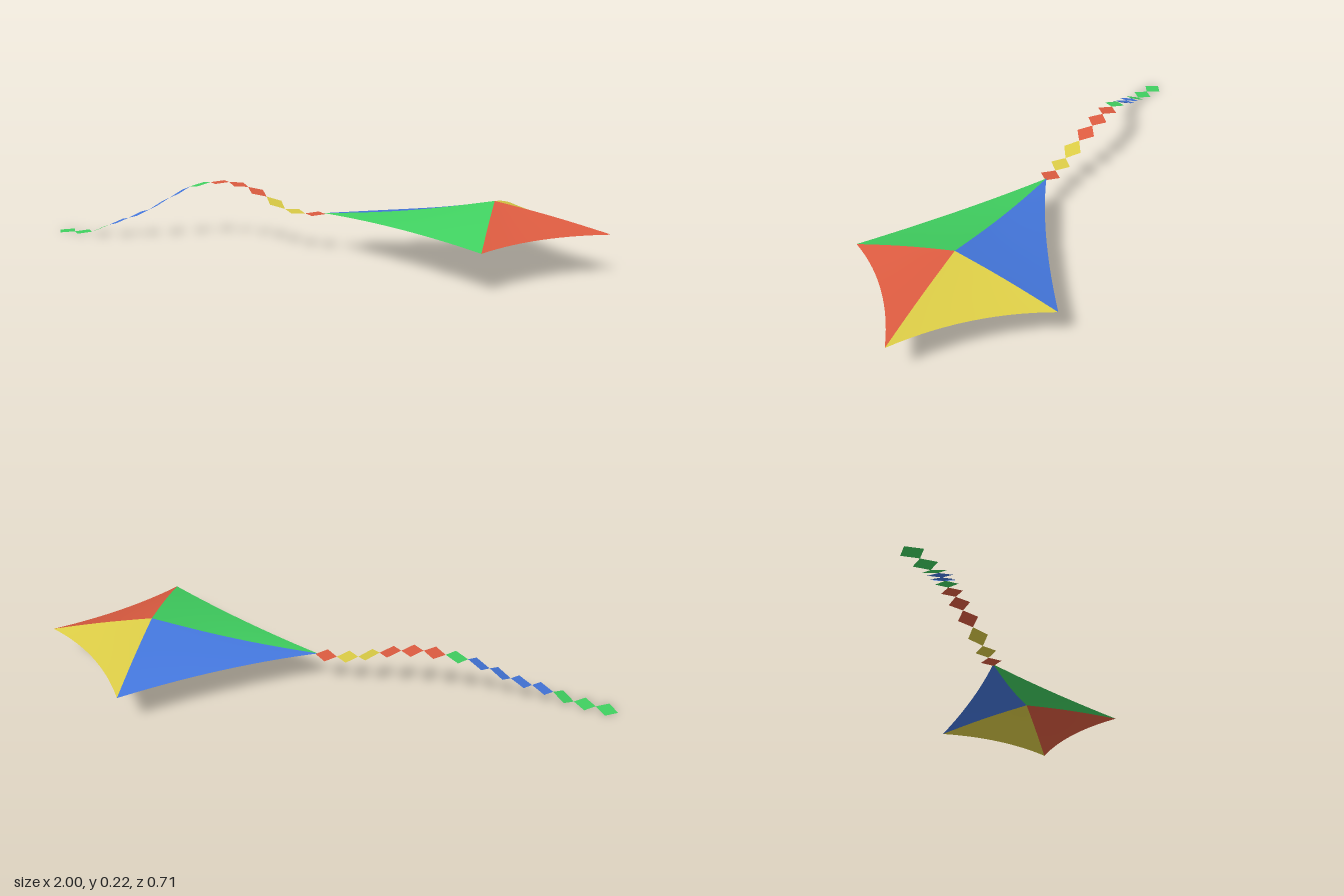
import * as THREE from 'three';

const mat = (name, color) => {
  const m = new THREE.MeshStandardMaterial({ color, side: THREE.DoubleSide });
  m.name = name;
  return m;
};

// Surface from a rule p(u, v) sampled on a grid, smooth normals
function patch(p, nu, nv) {
  const pos = [], idx = [];
  for (let i = 0; i <= nu; i++)
    for (let j = 0; j <= nv; j++) pos.push(...p(i / nu, j / nv).toArray());
  for (let i = 0; i < nu; i++)
    for (let j = 0; j < nv; j++) {
      const a = i * (nv + 1) + j, b = a + nv + 1;
      if (i > 0) idx.push(a, b, a + 1);
      idx.push(a + 1, b, b + 1);
    }
  const g = new THREE.BufferGeometry();
  g.setAttribute('position', new THREE.Float32BufferAttribute(pos, 3));
  g.setIndex(idx);
  g.computeVertexNormals();
  return g;
}

export function createModel() {
  const kite = new THREE.Group();
  kite.name = 'kite';
  const red = mat('red', 0xdb5b40), yellow = mat('yellow', 0xd9ca45);
  const green = mat('green', 0x40d060), blue = mat('blue', 0x4477dd);

  // Sail: four hollow panels between the raised centre and the curved rim
  const apex = new THREE.Vector3(0.627, 0.222, 0);
  const sail = (name, material, end, bend, endBulge, side) => {
    const rim = new THREE.QuadraticBezierCurve3(
      new THREE.Vector3(end, 0.138, 0),
      new THREE.Vector3(bend[0], 0.148, bend[1] * side),
      new THREE.Vector3(0.645, 0.137, 0.355 * side));
    const geo = patch((r, t) => {
      const q = apex.clone().lerp(rim.getPoint(t), r);
      // ridges sag or swell slightly between centre and rim
      q.y += THREE.MathUtils.lerp(endBulge, 0.005, t) * Math.sin(Math.PI * r);
      return q;
    }, 14, 14);
    const mesh = new THREE.Mesh(geo, material);
    mesh.name = name;
    kite.add(mesh);
  };
  const rear = [0.345, 0.138], nose = [0.775, 0.133];
  sail('rearLeftPanel', green, 0.04, rear, -0.011, 1);
  sail('rearRightPanel', blue, 0.04, rear, -0.011, -1);
  sail('noseLeftPanel', red, 1, nose, 0.004, 1);
  sail('noseRightPanel', yellow, 1, nose, 0.004, -1);

  // Tail: a chain of diamonds joined corner to corner along a wavy path
  const heights = [0.135, 0.132, 0.142, 0.178, 0.205, 0.217, 0.211, 0.193,
    0.15, 0.104, 0.072, 0.043, 0.01, 0.004, 0];
  const sway = [0, 0, -0.002, -0.018, -0.033, -0.038, -0.042, -0.03,
    -0.01, 0.008, 0.025, 0.037, 0.037, 0.03, 0.01];
  const colours = [red, yellow, yellow, red, red, red, green,
    blue, blue, blue, blue, green, green, green];
  const node = i => new THREE.Vector3(0.0475 - 0.07482 * i, heights[i], sway[i]);
  const tail = new THREE.Group();
  tail.name = 'tail';
  colours.forEach((material, i) => {
    const a = node(i), b = node(i + 1);
    const mid = a.clone().add(b).multiplyScalar(0.5);
    const across = new THREE.Vector3(b.z - a.z, 0, a.x - b.x).setLength(0.037);
    const corners = [a, mid.clone().sub(across), b, mid.clone().add(across)];
    const g = new THREE.BufferGeometry().setFromPoints(corners);
    g.setIndex([0, 1, 2, 0, 2, 3]);
    g.computeVertexNormals();
    const mesh = new THREE.Mesh(g, material);
    mesh.name = `tailDiamond${i + 1}`;
    tail.add(mesh);
  });
  kite.add(tail);
  return kite;
}
